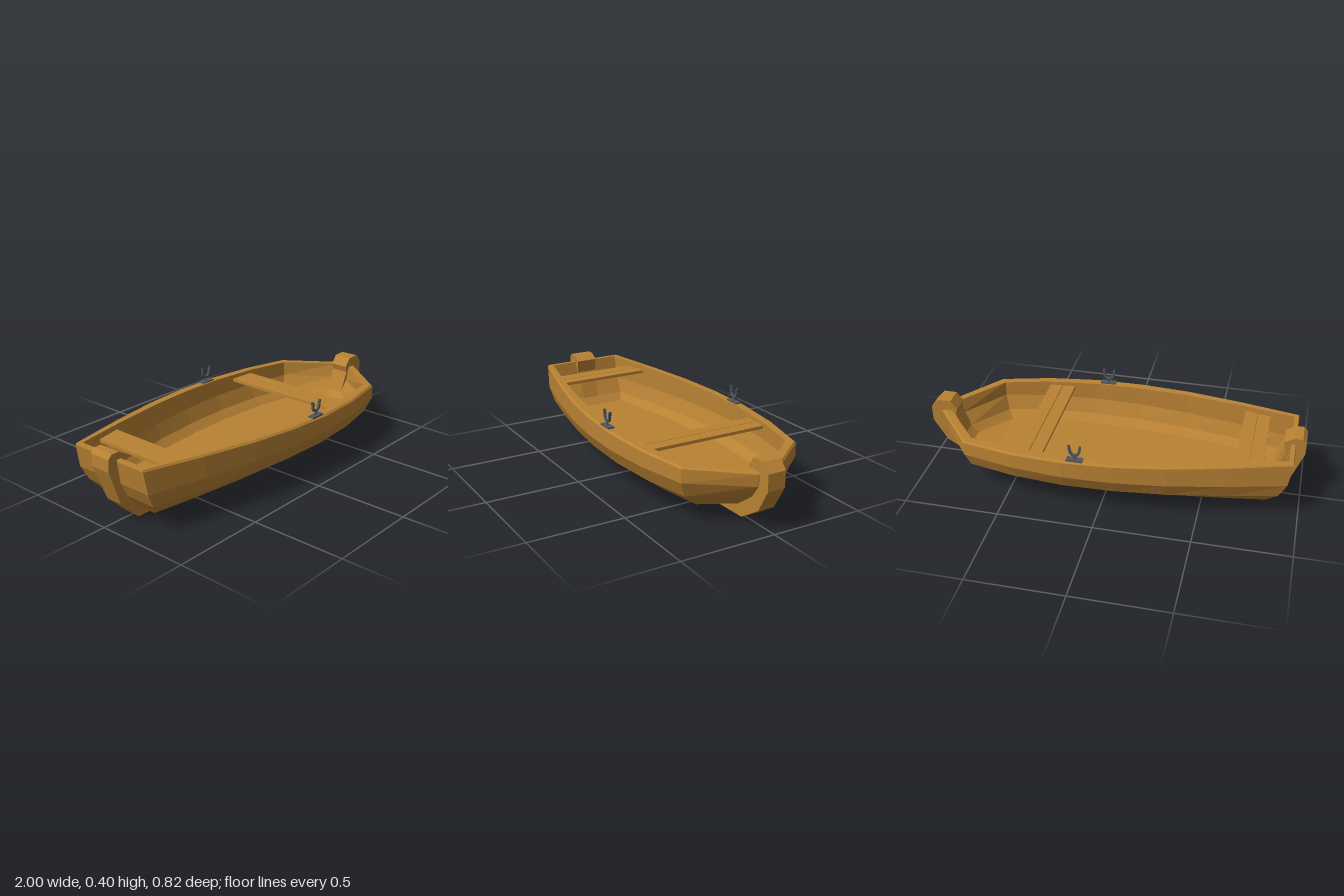
import * as THREE from 'three';

const wood = new THREE.MeshStandardMaterial({ color: 0xb98234 });
wood.name = 'wood';
const iron = new THREE.MeshStandardMaterial({ color: 0x50565c });
iron.name = 'iron';

function add(parent, name, geometry, material, x = 0, y = 0, z = 0) {
  const mesh = new THREE.Mesh(geometry, material);
  mesh.name = name;
  mesh.position.set(x, y, z);
  parent.add(mesh);
  return mesh;
}

// Rim outline (x, half width) from stern to bow, and rim height along x
const outline = [[-0.95, 0.23], [-0.63, 0.31], [-0.34, 0.37], [-0.08, 0.402],
  [0.18, 0.41], [0.45, 0.385], [0.72, 0.327], [0.94, 0.05]];
const rimY = x => 0.35 - 0.03 * (x + 0.95);

// Hull loops, up the outside and down the inside:
// [height, or drop below the rim when <= 0, width scale, stern x, bow corner x, bow x]
const levels = [
  [0.065, 0.63, -0.83, 0.66, 0.78],
  [0.14, 0.9, -0.89, 0.7, 0.88],
  [0.22, 1, -0.93, 0.72, 0.93],
  [-0.01, 1, -0.95, 0.72, 0.94],
  [0, 0.975, -0.947, 0.715, 0.93],
  [0, 0.87, -0.925, 0.69, 0.89],
  [0.22, 0.87, -0.9, 0.69, 0.87],
  [0.14, 0.8, -0.85, 0.67, 0.82],
  [0.1, 0.7, -0.81, 0.64, 0.78],
];

function hullGeometry() {
  const n = outline.length, count = n * 2, pos = [], idx = [];
  for (const [h, scale, stern, corner, bow] of levels) {
    const half = outline.map(([px, pz], i) => {
      const x = i === 0 ? stern : i === n - 2 ? corner : i === n - 1 ? bow : px;
      const w = i === 0 ? pz + (stern + 0.95) * 0.25 : pz;
      const lift = i === n - 1 && h < 0.2 ? 0.012 : 0;
      return [x, h <= 0 ? rimY(x) + h : h + lift, w * scale];
    });
    half.forEach(p => pos.push(...p));
    [...half].reverse().forEach(([x, y, z]) => pos.push(x, y, -z));
  }
  const quad = (a, b, c, d) => idx.push(a, b, c, a, c, d);
  for (let i = 0; i < levels.length - 1; i++) {
    for (let j = 0; j < count; j++) {
      const k = (j + 1) % count, lo = i * count, hi = lo + count;
      quad(lo + j, lo + k, hi + k, hi + j);
    }
  }
  // Underside and inner floor
  const top = (levels.length - 1) * count;
  for (let j = 0; j < n - 1; j++) {
    const r = count - 1 - j;
    quad(r, r - 1, j + 1, j);
    quad(top + j, top + j + 1, top + r - 1, top + r);
  }
  const indexed = new THREE.BufferGeometry();
  indexed.setAttribute('position', new THREE.Float32BufferAttribute(pos, 3));
  indexed.setIndex(idx);
  const g = indexed.toNonIndexed();
  g.computeVertexNormals();
  return g;
}

// Keel with curled stem and stern post in one side profile, narrowing downward
function keelGeometry() {
  const profile = [
    [-0.82, 0], [0.2, 0], [0.8, 0.018], [0.93, 0.1], [1, 0.22], [1, 0.305], [0.96, 0.35],
    [0.89, 0.35], [0.855, 0.305], [0.865, 0.27], [0.82, 0.15], [0.75, 0.085],
    [-0.79, 0.085], [-0.845, 0.14], [-0.9, 0.29], [-0.89, 0.36], [-0.94, 0.387],
    [-0.98, 0.387], [-1, 0.365], [-1, 0.3], [-0.93, 0.11],
  ];
  const shape = new THREE.Shape(profile.map(p => new THREE.Vector2(...p)));
  const g = new THREE.ExtrudeGeometry(shape, { depth: 2, bevelEnabled: false });
  g.translate(0, 0, -1);
  const p = g.attributes.position;
  for (let i = 0; i < p.count; i++) {
    const flare = p.getX(i) < 0 ? 0.047 : 0.022;
    p.setZ(i, p.getZ(i) * (0.042 + flare * p.getY(i)));
  }
  g.computeVertexNormals();
  return g;
}

// Bench made of two planks whose ends follow the hull
function bench(name, x, y, width, zNegX, zPosX) {
  const group = new THREE.Group();
  group.name = name;
  for (const s of [-1, 1]) {
    const a = s < 0 ? -width : 0.0015, b = s < 0 ? -0.0015 : width;
    const halfAt = t => zNegX + (zPosX - zNegX) * (t + width) / (2 * width);
    const shape = new THREE.Shape([[a, -halfAt(a)], [b, -halfAt(b)], [b, halfAt(b)], [a, halfAt(a)]]
      .map(p => new THREE.Vector2(...p)));
    const g = new THREE.ExtrudeGeometry(shape, { depth: 0.016, bevelEnabled: false });
    g.rotateX(-Math.PI / 2);
    add(group, 'plank', g, wood, x, y - 0.016, 0);
  }
  return group;
}

// Oarlock: base plate, pin and open fork
function oarlock(side) {
  const group = new THREE.Group();
  group.name = side > 0 ? 'frontOarlock' : 'backOarlock';
  const fork = new THREE.Shape();
  fork.moveTo(-0.024, 0.03);
  fork.lineTo(-0.034, 0.03);
  fork.lineTo(-0.03, 0);
  fork.absarc(0, 0, 0.03, Math.PI, Math.PI * 2, false);
  fork.lineTo(0.034, 0.03);
  fork.lineTo(0.024, 0.03);
  fork.lineTo(0.019, 0);
  fork.absarc(0, 0, 0.019, 0, Math.PI, true);
  const g = new THREE.ExtrudeGeometry(fork, { depth: 0.012, bevelEnabled: false, curveSegments: 8 });
  g.translate(0, 0, -0.006);
  add(group, 'fork', g, iron, 0, 0.053, 0);
  add(group, 'pin', new THREE.CylinderGeometry(0.006, 0.006, 0.028, 8), iron, 0, 0.013, 0);
  add(group, 'basePlate', new THREE.BoxGeometry(0.084, 0.009, 0.034), iron, 0, 0.002, 0);
  group.position.set(0.113, rimY(0.113), side * 0.383);
  return group;
}

export function createModel() {
  const boat = new THREE.Group();
  boat.name = 'rowingBoat';
  add(boat, 'hull', hullGeometry(), wood);
  add(boat, 'keel', keelGeometry(), wood);
  boat.add(bench('bowBench', 0.37, 0.29, 0.07, 0.355, 0.35));
  boat.add(bench('sternBench', -0.733, 0.315, 0.068, 0.243, 0.268));
  for (const side of [1, -1]) boat.add(oarlock(side));
  return boat;
}
